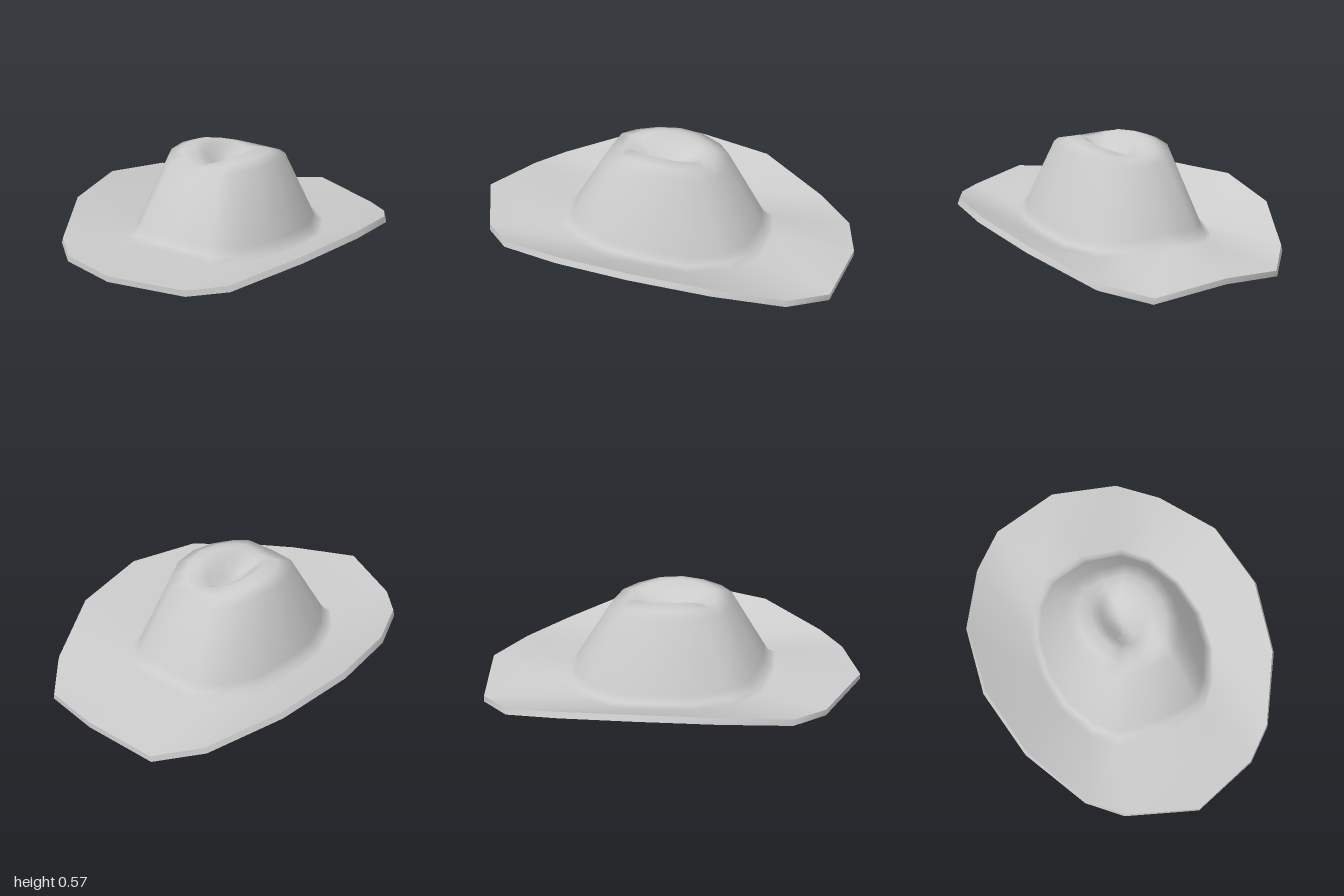
import * as THREE from 'three';

// Half outline from front centre round the left side to back centre
// rim: [x, z, underside y]
const RIM = [
  [0, 1, 0.17], [0.36, 0.87, 0.138], [0.52, 0.73, 0.15], [0.71, 0.39, 0.22], [0.79, 0, 0.232],
  [0.74, -0.4, 0.172], [0.56, -0.74, 0.05], [0.37, -0.93, 0], [0, -1, 0.05],
];
// crown base: [x, z, brim top y, shoulder y, ridge y]
const BASE = [
  [0, 0.49, 0.165, 0.52, 0.515], [0.22, 0.46, 0.15, 0.528, 0.55], [0.31, 0.36, 0.133, 0.53, 0.57],
  [0.39, 0.19, 0.125, 0.53, 0.574], [0.415, 0, 0.118, 0.53, 0.572], [0.39, -0.2, 0.09, 0.52, 0.56],
  [0.31, -0.37, 0.085, 0.5, 0.545], [0.2, -0.47, 0.092, 0.488, 0.53], [0, -0.505, 0.115, 0.48, 0.505],
];

// Mirror a half table into a closed loop of 16 columns
function mirror(half) {
  const right = half.slice(1, -1).reverse().map(([x, ...rest]) => [-x, ...rest]);
  return [...half, ...right];
}

// Skin a list of closed rings, with an optional centre point after the last
function skin(rings, centre, flip) {
  const n = rings[0].length;
  const pos = rings.flat(2);
  const index = [];
  const tri = (a, b, c) => (flip ? index.push(a, c, b) : index.push(a, b, c));
  for (let r = 0; r < rings.length - 1; r++) {
    for (let j = 0; j < n; j++) {
      const k = (j + 1) % n;
      const a = r * n + j, b = r * n + k, c = a + n, d = b + n;
      tri(a, b, d);
      tri(a, d, c);
    }
  }
  if (centre) {
    const last = (rings.length - 1) * n;
    for (let j = 0; j < n; j++) tri(last + j, last + ((j + 1) % n), pos.length / 3);
    pos.push(...centre);
  }
  const g = new THREE.BufferGeometry();
  g.setAttribute('position', new THREE.Float32BufferAttribute(pos, 3));
  g.setIndex(index);
  g.computeVertexNormals();
  return g;
}

export function createModel() {
  const hat = new THREE.Group();
  hat.name = 'hat';
  const material = new THREE.MeshStandardMaterial({ color: 0xcccccc, side: THREE.DoubleSide });
  const add = (name, geometry) => {
    const mesh = new THREE.Mesh(geometry, material);
    mesh.name = name;
    hat.add(mesh);
  };

  const rim = mirror(RIM), base = mirror(BASE);
  const rimRing = (lift, scaleX) => rim.map(([x, z, y]) => [x * scaleX, y + lift, z]);
  // Ring made by scaling the crown base, with a height rule per column
  const ring = (sx, sz, height) => base.map(([x, z, brim, shoulder, ridge]) => [x * sx, height(brim, shoulder, ridge), z * sz]);

  // Brim top and crown: flare, wall, shoulder, ridge, dent
  const rimTop = rimRing(0.03, 0.983);
  add('brimTopAndCrown', skin([
    rimTop,
    ring(1.13, 1.13, (b) => b),
    ring(1.05, 1.05, (b) => b + 0.018),
    ring(1.01, 1, (b) => b + 0.06),
    ring(0.69, 0.63, (b, s) => s),
    ring(0.53, 0.48, (b, s, r) => (s + r) / 2 + 0.006),
    ring(0.37, 0.36, (b, s, r) => r),
    ring(0.24, 0.27, (b, s, r) => r - 0.035),
    ring(0.12, 0.15, () => 0.468),
  ], [0, 0.458, 0]));

  // Brim underside and hollow inside of the crown
  const rimBottom = rimRing(0, 1);
  add('brimUndersideAndLining', skin([
    rimBottom,
    ring(1.1, 1.08, (b) => b - 0.038),
    ring(0.97, 0.97, (b) => b + 0.02),
    ring(0.64, 0.58, (b, s) => s - 0.03),
    ring(0.37, 0.36, (b, s, r) => r - 0.035),
    ring(0.14, 0.17, () => 0.438),
  ], [0, 0.428, 0], true));

  // Thin sloping edge of the brim
  add('brimEdge', skin([rimBottom, rimTop]));

  return hat;
}
